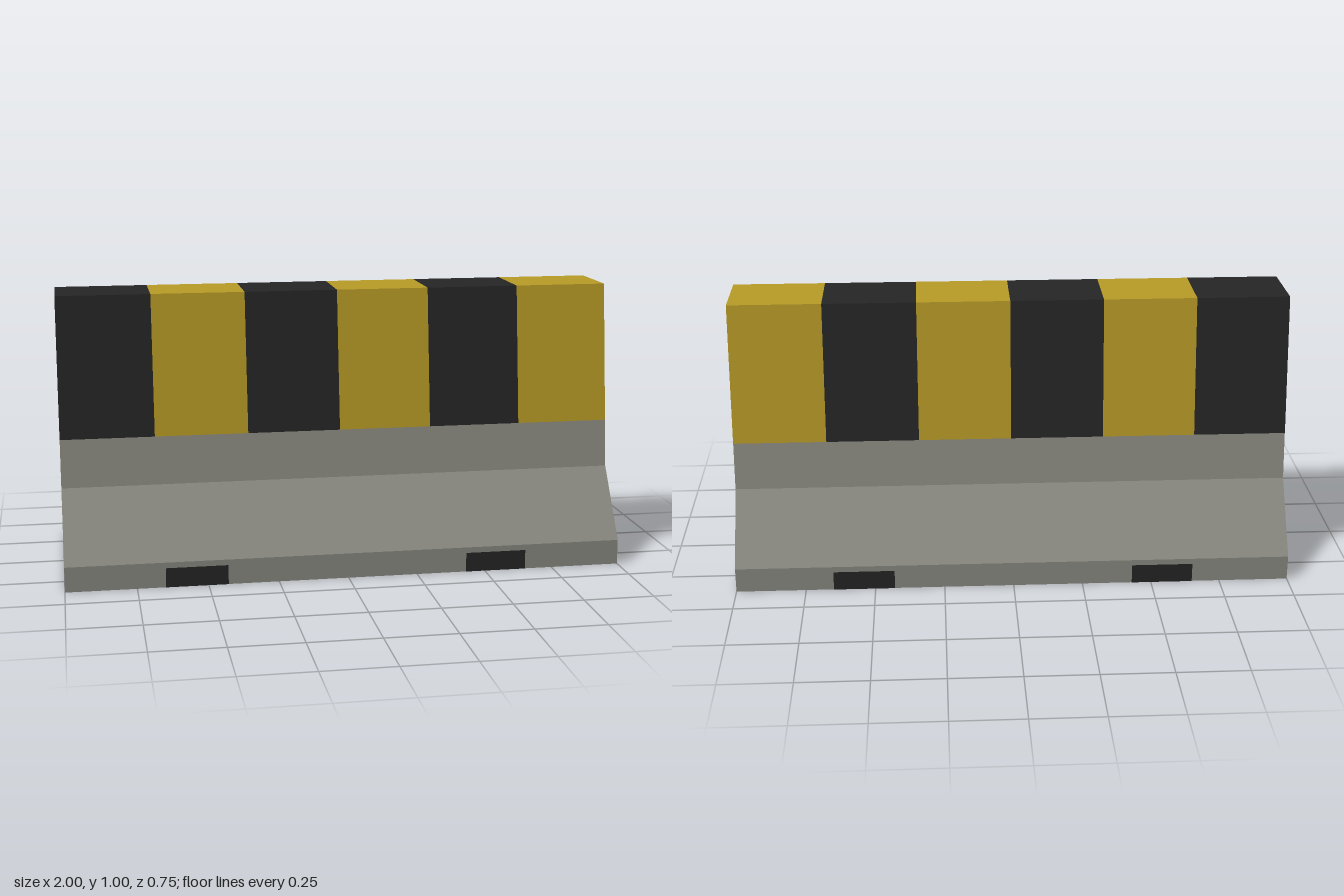
import * as THREE from 'three';

const material = (name, color) =>
  new THREE.MeshStandardMaterial({ name, color, side: THREE.DoubleSide });

// Flat-shaded skin swept along x from x0 to x1; profile points are [z, y], back to front
function strip(x0, x1, profile) {
  const pos = [];
  for (let i = 0; i < profile.length - 1; i++) {
    const [za, ya] = profile[i], [zb, yb] = profile[i + 1];
    pos.push(x0, ya, za, x0, yb, zb, x1, yb, zb);
    pos.push(x0, ya, za, x1, yb, zb, x1, ya, za);
  }
  const geo = new THREE.BufferGeometry();
  geo.setAttribute('position', new THREE.Float32BufferAttribute(pos, 3));
  geo.computeVertexNormals();
  return geo;
}

// Completes a front half-profile (bottom to top) with its mirrored back
const mirrored = (half) => [...half.map(([z, y]) => [-z, y]), ...half.slice().reverse()];

export function createModel() {
  const model = new THREE.Group();
  model.name = 'roadBarrier';
  const concrete = material('concreteGrey', 0x8c8c84);
  const yellow = material('warningYellow', 0xb89b26);
  const black = material('warningBlack', 0x262626);

  const add = (name, geo, mat) => {
    const mesh = new THREE.Mesh(geo, mat);
    mesh.name = name;
    model.add(mesh);
    return mesh;
  };

  // Concrete shell, hollow and open underneath
  const profile = mirrored([[0.374, 0], [0.374, 0.09], [0.209, 0.33], [0.119, 0.999]]);
  add('shell', strip(-1, 1, profile), concrete);

  // End walls
  const endShape = new THREE.Shape(profile.map(([z, y]) => new THREE.Vector2(z, y)));
  for (const side of [1, -1]) {
    const end = add(side > 0 ? 'leftEnd' : 'rightEnd', new THREE.ShapeGeometry(endShape), concrete);
    end.rotation.y = side * Math.PI / 2;
    end.position.x = side;
  }

  // Warning stripes wrapped over the upper half
  const band = mirrored([[0.188, 0.5], [0.121, 1]]);
  for (let i = 0; i < 6; i++) {
    const x = -1 + i / 3;
    add('stripe' + (i + 1), strip(x, x + 1 / 3, band), i % 2 ? yellow : black);
  }

  // Dark lifting slots along both lower edges
  for (const x of [-0.54, 0.54]) {
    for (const side of [1, -1]) {
      const slot = add(side > 0 ? 'frontSlot' : 'backSlot', new THREE.PlaneGeometry(0.22, 0.07), black);
      slot.position.set(x, 0.035, side * 0.3755);
      if (side < 0) slot.rotation.y = Math.PI;
    }
  }
  return model;
}
